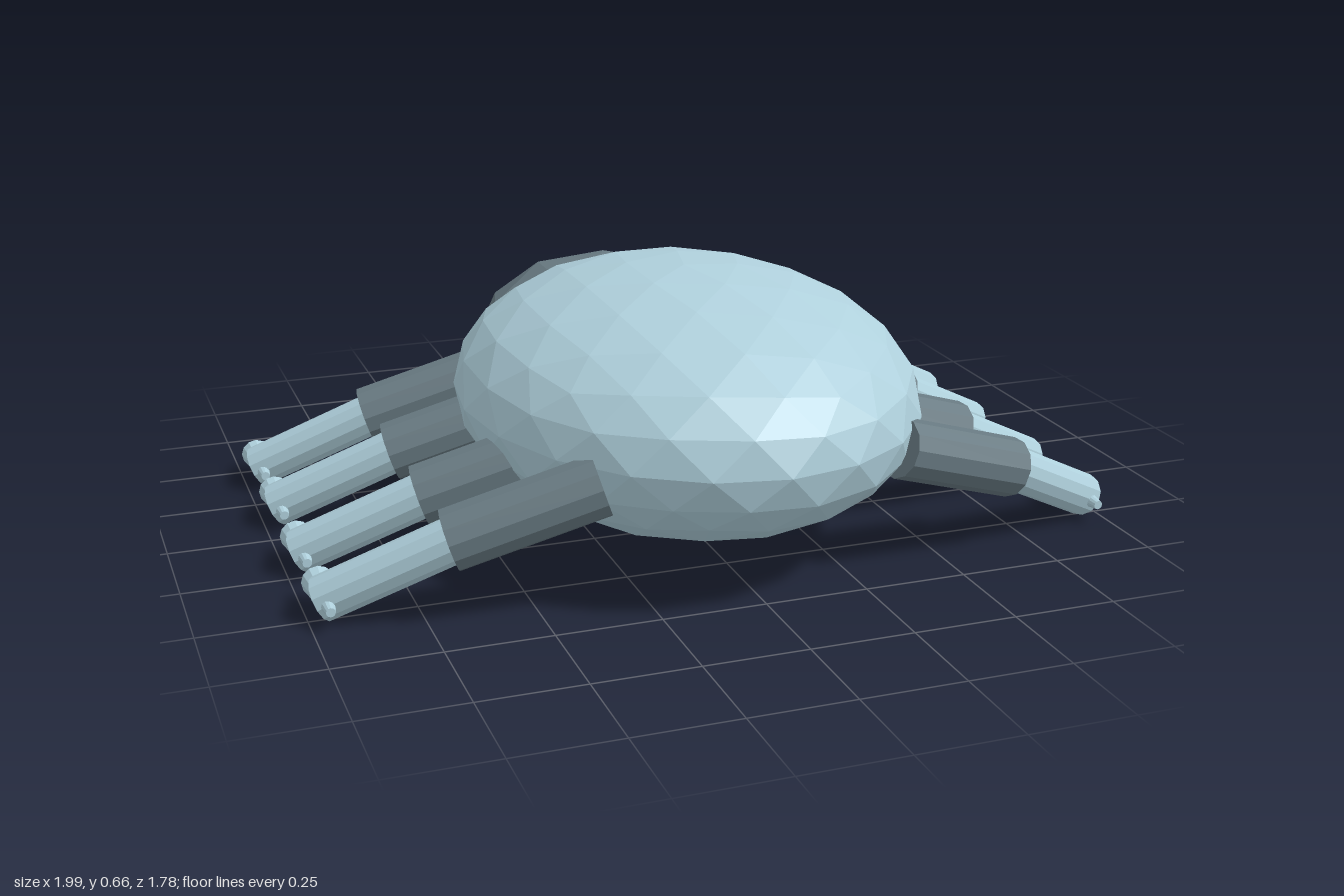
import * as THREE from 'three';

const light = new THREE.MeshStandardMaterial({ color: 0xafd0dc, flatShading: true });
light.name = 'paleBlue';
const dark = new THREE.MeshStandardMaterial({ color: 0x687a82, flatShading: true });
dark.name = 'slateGrey';

// Faceted ellipsoid with a vertex at its top and bottom
function ellipsoid(name, detail, radii, centre, material) {
  const geo = new THREE.IcosahedronGeometry(1, detail);
  geo.rotateX(-Math.atan((1 + Math.sqrt(5)) / 2));
  geo.rotateY(Math.PI / 2);
  geo.scale(...radii);
  geo.computeVertexNormals();
  const mesh = new THREE.Mesh(geo, material);
  mesh.name = name;
  mesh.position.set(...centre);
  return mesh;
}

// Capped cylinder from point a (radius ra) to point b (radius rb)
function rod(name, a, b, ra, rb, material) {
  const start = new THREE.Vector3(...a);
  const end = new THREE.Vector3(...b);
  const dir = end.clone().sub(start);
  const mesh = new THREE.Mesh(new THREE.CylinderGeometry(rb, ra, dir.length(), 12), material);
  mesh.name = name;
  mesh.position.copy(start).add(end).multiplyScalar(0.5);
  mesh.quaternion.setFromUnitVectors(new THREE.Vector3(0, 1, 0), dir.normalize());
  return mesh;
}

export function createModel() {
  const model = new THREE.Group();
  model.name = 'beetle';

  model.add(ellipsoid('body', 3, [0.555, 0.308, 0.69], [0, 0.357, 0.197], light));
  model.add(ellipsoid('head', 1, [0.354, 0.24, 0.325], [0, 0.295, -0.455], dark));

  for (const s of [1, -1]) {
    const side = s > 0 ? 'left' : 'right';

    // Antenna flares outwards from the head
    model.add(rod(side + 'Antenna', [s * 0.108, 0.243, -0.7], [s * 0.112, 0.247, -0.89], 0.011, 0.038, light));

    // Four identical two-part legs, each with a flared claw
    [0, 0.29, 0.605, 0.895].forEach((z, i) => {
      const leg = new THREE.Group();
      leg.name = side + 'Leg' + (i + 1);
      leg.position.z = z;
      leg.add(rod('upperLeg', [s * 0.362, 0.31, -0.232], [s * 0.695, 0.198, -0.298], 0.073, 0.073, dark));
      leg.add(rod('lowerLeg', [s * 0.66, 0.218, -0.275], [s * 0.967, 0.054, -0.403], 0.054, 0.054, light));
      leg.add(rod('claw', [s * 0.961, 0.057, -0.315], [s * 0.957, 0.057, -0.495], 0.011, 0.038, light));
      model.add(leg);
    });
  }
  return model;
}
